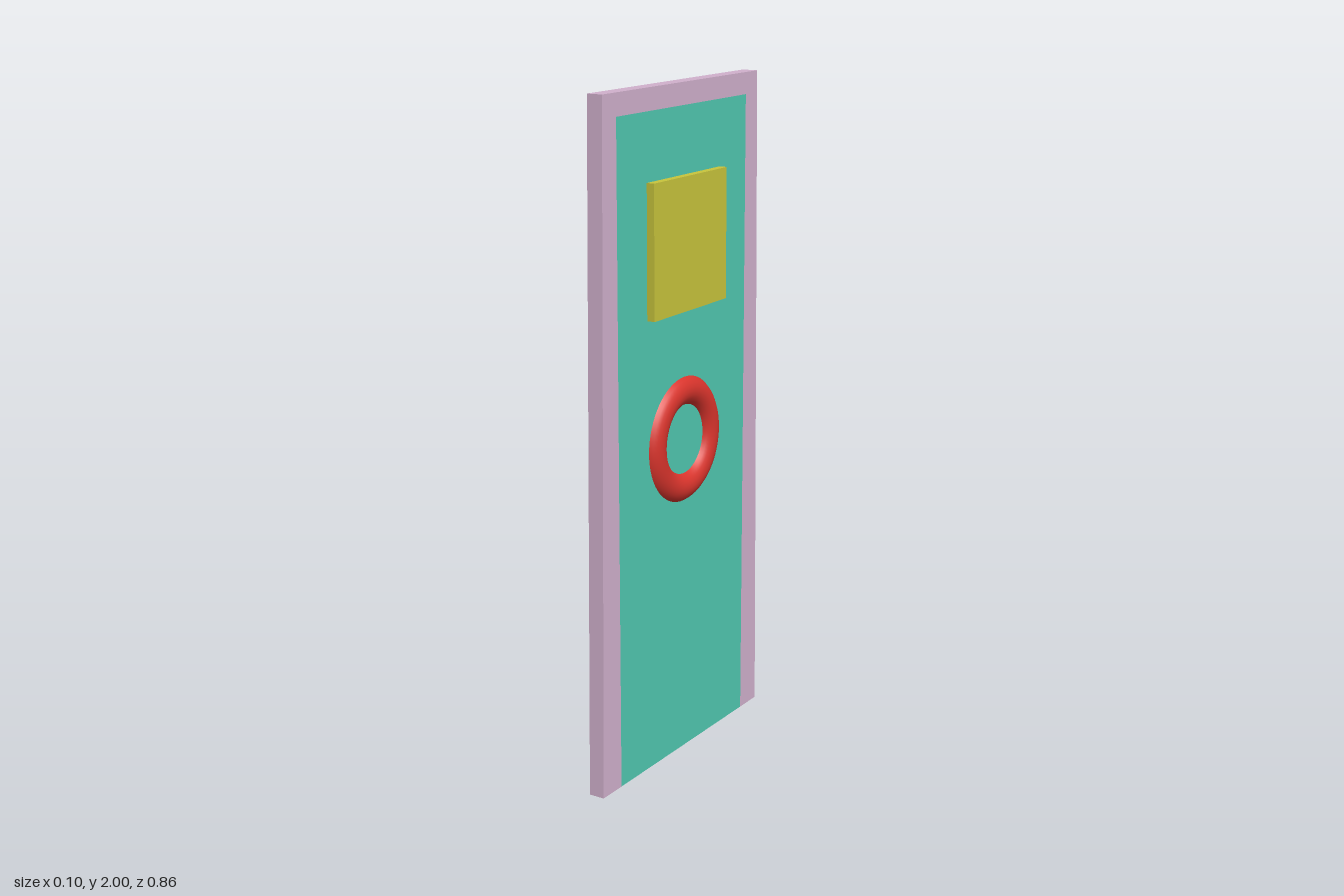
import * as THREE from 'three';

const THICK = 0.048;      // slab thickness along x
const OPEN_HALF = 0.34;   // half width of the panel opening
const OPEN_TOP = 1.936;   // top of the panel opening

export function createModel() {
  const door = new THREE.Group();
  door.name = 'door';

  const add = (name, geometry, color, y = 0) => {
    const mesh = new THREE.Mesh(geometry, new THREE.MeshStandardMaterial({ color }));
    mesh.name = name;
    mesh.position.y = y;
    door.add(mesh);
  };

  // Frame: tapered surround, open at the bottom, as wide as z and thin in x
  const outline = [
    [-0.432, 0], [-OPEN_HALF, 0], [-OPEN_HALF, OPEN_TOP], [OPEN_HALF, OPEN_TOP],
    [OPEN_HALF, 0], [0.432, 0], [0.405, 2], [-0.405, 2],
  ].map(([x, y]) => new THREE.Vector2(x, y));
  const frame = new THREE.ExtrudeGeometry(new THREE.Shape(outline), { depth: THICK, bevelEnabled: false });
  frame.translate(0, 0, -THICK / 2).rotateY(Math.PI / 2);
  add('frame', frame, 0xd0b0cc);

  // Panel flush with the frame
  add('panel', new THREE.BoxGeometry(THICK, OPEN_TOP, OPEN_HALF * 2), 0x50c8b0, OPEN_TOP / 2);

  // Window block, standing out on both faces
  add('window', new THREE.BoxGeometry(0.096, 0.386, 0.386), 0xc8c43c, 1.549);

  // Ring set through the panel
  add('ring', new THREE.TorusGeometry(0.145, 0.048, 24, 64).rotateY(Math.PI / 2), 0xd8342c, 0.969);

  return door;
}
